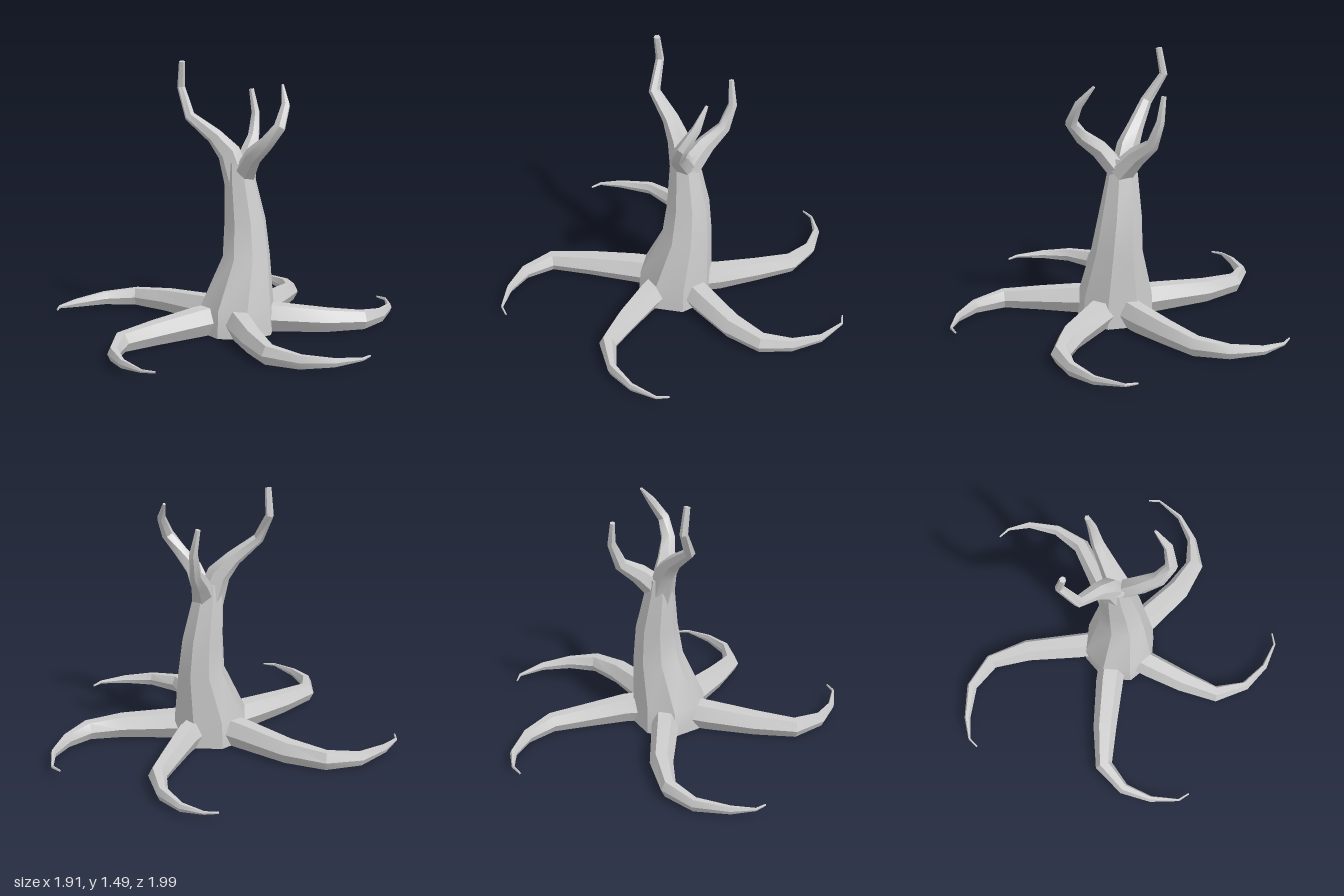
import * as THREE from 'three';
import { toCreasedNormals } from 'three/addons/utils/BufferGeometryUtils.js';

const material = new THREE.MeshStandardMaterial({ color: 0xcccccc, side: THREE.DoubleSide });

// Lofts polygon rings along a path. Each station is [x, y, z, width, height];
// ref steers the ring's orientation, axis (optional) fixes the ring normal.
function loft(name, stations, { sides = 6, ref, axis, turn = 0, capStart = true }) {
  const centres = stations.map(s => new THREE.Vector3(s[0], s[1], s[2]));
  const n = stations.length;
  const pos = [], index = [];
  stations.forEach(([, , , w, h], i) => {
    const before = centres[i].clone().sub(centres[Math.max(i - 1, 0)]).normalize();
    const after = centres[Math.min(i + 1, n - 1)].clone().sub(centres[i]).normalize();
    const t = axis ? axis.clone() : before.add(after).normalize();
    const u = ref.clone().cross(t).normalize();
    const v = t.clone().cross(u);
    for (let j = 0; j < sides; j++) {
      const a = turn + (j / sides) * Math.PI * 2;
      const p = centres[i].clone()
        .addScaledVector(u, Math.cos(a) * w / 2)
        .addScaledVector(v, Math.sin(a) * h / 2);
      pos.push(p.x, p.y, p.z);
    }
  });
  for (let i = 0; i < n - 1; i++) {
    for (let j = 0; j < sides; j++) {
      const k = (j + 1) % sides;
      const a = i * sides + j, b = i * sides + k;
      index.push(a, b, b + sides, a, b + sides, a + sides);
    }
  }
  const last = (n - 1) * sides;
  for (let j = 1; j < sides - 1; j++) {
    index.push(last, last + j, last + j + 1);
    if (capStart) index.push(0, j + 1, j);
  }
  const geo = new THREE.BufferGeometry();
  geo.setAttribute('position', new THREE.Float32BufferAttribute(pos, 3));
  geo.setIndex(index);
  const mesh = new THREE.Mesh(toCreasedNormals(geo, 0.55), material);
  mesh.name = name;
  return mesh;
}

const X = new THREE.Vector3(1, 0, 0);
const Y = new THREE.Vector3(0, 1, 0);
const Z = new THREE.Vector3(0, 0, 1);

// Roots seen from above: [x, z, width] from trunk to tip
const roots = {
  backRoot: [[0.17, -0.08, 0.14], [0.22, -0.19, 0.13], [0.28, -0.4, 0.115], [0.335, -0.61, 0.1],
    [0.29, -0.79, 0.065], [0.18, -0.93, 0.04], [0.06, -0.99, 0.016], [-0.015, -0.985, 0.01]],
  leftRoot: [[0.2, 0.02, 0.16], [0.31, 0.015, 0.16], [0.6, -0.005, 0.14], [0.79, -0.065, 0.105],
    [0.89, -0.2, 0.055], [0.935, -0.365, 0.03], [0.91, -0.53, 0.013], [0.86, -0.575, 0.01]],
  frontLeftRoot: [[0.11, 0.15, 0.15], [0.15, 0.25, 0.15], [0.24, 0.455, 0.13], [0.34, 0.64, 0.095],
    [0.51, 0.715, 0.05], [0.68, 0.7, 0.03], [0.82, 0.635, 0.013], [0.855, 0.575, 0.01]],
  frontRightRoot: [[-0.01, 0.1, 0.16], [-0.1, 0.18, 0.16], [-0.3, 0.375, 0.135], [-0.45, 0.545, 0.1],
    [-0.45, 0.725, 0.065], [-0.37, 0.87, 0.035], [-0.25, 0.98, 0.013], [-0.18, 0.99, 0.01]],
  backRightRoot: [[0, -0.05, 0.15], [-0.1, -0.115, 0.15], [-0.35, -0.29, 0.13], [-0.56, -0.375, 0.09],
    [-0.745, -0.33, 0.06], [-0.885, -0.195, 0.035], [-0.955, -0.085, 0.013], [-0.95, -0.02, 0.01]],
};
// Shared [underside, top] heights along every root
const rootHeights = [[0, 0.155], [0, 0.15], [0.003, 0.125], [0.006, 0.105],
  [0.012, 0.085], [0.025, 0.07], [0.043, 0.06], [0.047, 0.057]];

export function createModel() {
  const tree = new THREE.Group();
  tree.name = 'tree';

  // Trunk, flared at the foot and open underneath
  tree.add(loft('trunk', [
    [0.1, 0, 0.04, 0.43, 0.43],
    [0.1, 0.15, 0.035, 0.42, 0.41],
    [0.145, 0.42, -0.005, 0.27, 0.29],
    [0.135, 0.62, -0.02, 0.235, 0.24],
    [0.107, 0.84, -0.017, 0.18, 0.17],
    [0.1, 0.94, -0.015, 0.15, 0.14],
  ], { sides: 8, ref: Z, axis: Y, turn: Math.PI / 8, capStart: false }));

  // Branches: one leaning right, one curling left and forward, one to the back
  tree.add(loft('rightBranch', [
    [0.1, 0.82, -0.015, 0.16, 0.15], [0.045, 0.99, -0.015, 0.13, 0.12],
    [-0.035, 1.08, -0.015, 0.09, 0.09], [-0.17, 1.19, 0, 0.06, 0.065],
    [-0.23, 1.34, -0.075, 0.045, 0.045], [-0.22, 1.485, -0.05, 0.035, 0.035],
  ], { ref: Z }));
  tree.add(loft('leftBranch', [
    [0.13, 0.87, 0, 0.11, 0.13], [0.19, 0.99, 0.08, 0.11, 0.1],
    [0.27, 1.07, 0.14, 0.085, 0.08], [0.34, 1.16, 0.155, 0.07, 0.07],
    [0.365, 1.27, 0.09, 0.05, 0.05], [0.34, 1.37, 0.01, 0.016, 0.016],
  ], { ref: X }));
  tree.add(loft('backBranch', [
    [0.13, 0.86, -0.025, 0.14, 0.14], [0.14, 0.97, -0.13, 0.11, 0.1],
    [0.155, 1.05, -0.235, 0.075, 0.07], [0.16, 1.18, -0.285, 0.05, 0.05],
    [0.135, 1.315, -0.29, 0.03, 0.03],
  ], { ref: X }));

  // Five curling roots
  for (const [name, path] of Object.entries(roots)) {
    const stations = path.map(([x, z, w], i) => {
      const [low, high] = rootHeights[i];
      return [x, (low + high) / 2, z, w, (high - low) / Math.sin(Math.PI / 3)];
    });
    tree.add(loft(name, stations, { ref: Y }));
  }
  return tree;
}
